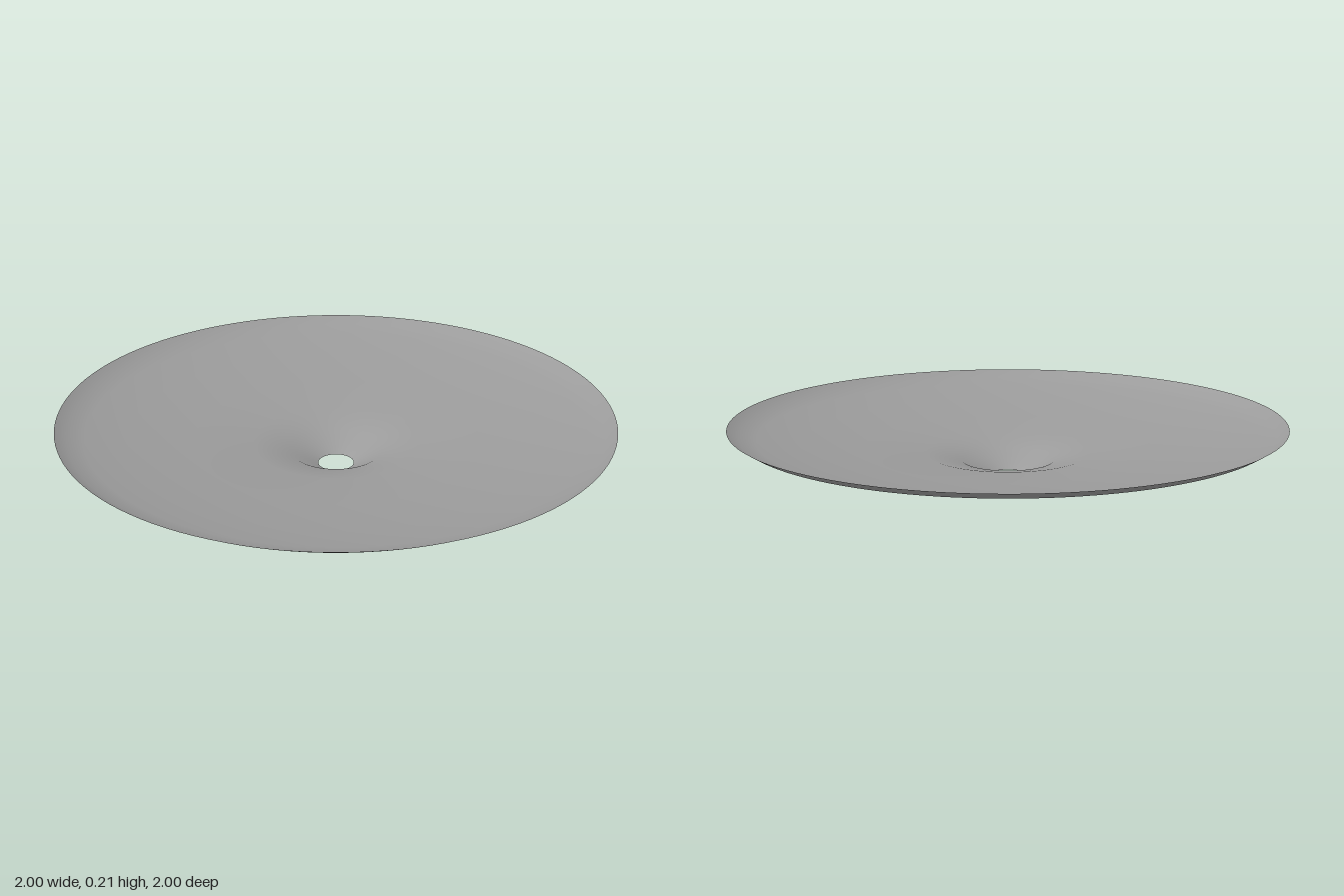
import * as THREE from 'three';

export function createModel() {
  const group = new THREE.Group();

  // Thin shallow dish: funnel around the centre hole, then a gently rising bowl to the rim
  const profile = [
    [0.065, 0], [0.17, 0.058], [0.3, 0.087], [0.52, 0.105],
    [0.75, 0.135], [0.9, 0.165], [0.96, 0.182], [1, 0.208],
  ].map(([r, y]) => new THREE.Vector2(r, y));

  const dish = new THREE.Mesh(
    new THREE.LatheGeometry(profile, 128),
    new THREE.MeshStandardMaterial({ color: 0x9b9b9b, side: THREE.DoubleSide })
  );
  dish.name = 'dish';
  group.add(dish);

  return group;
}
